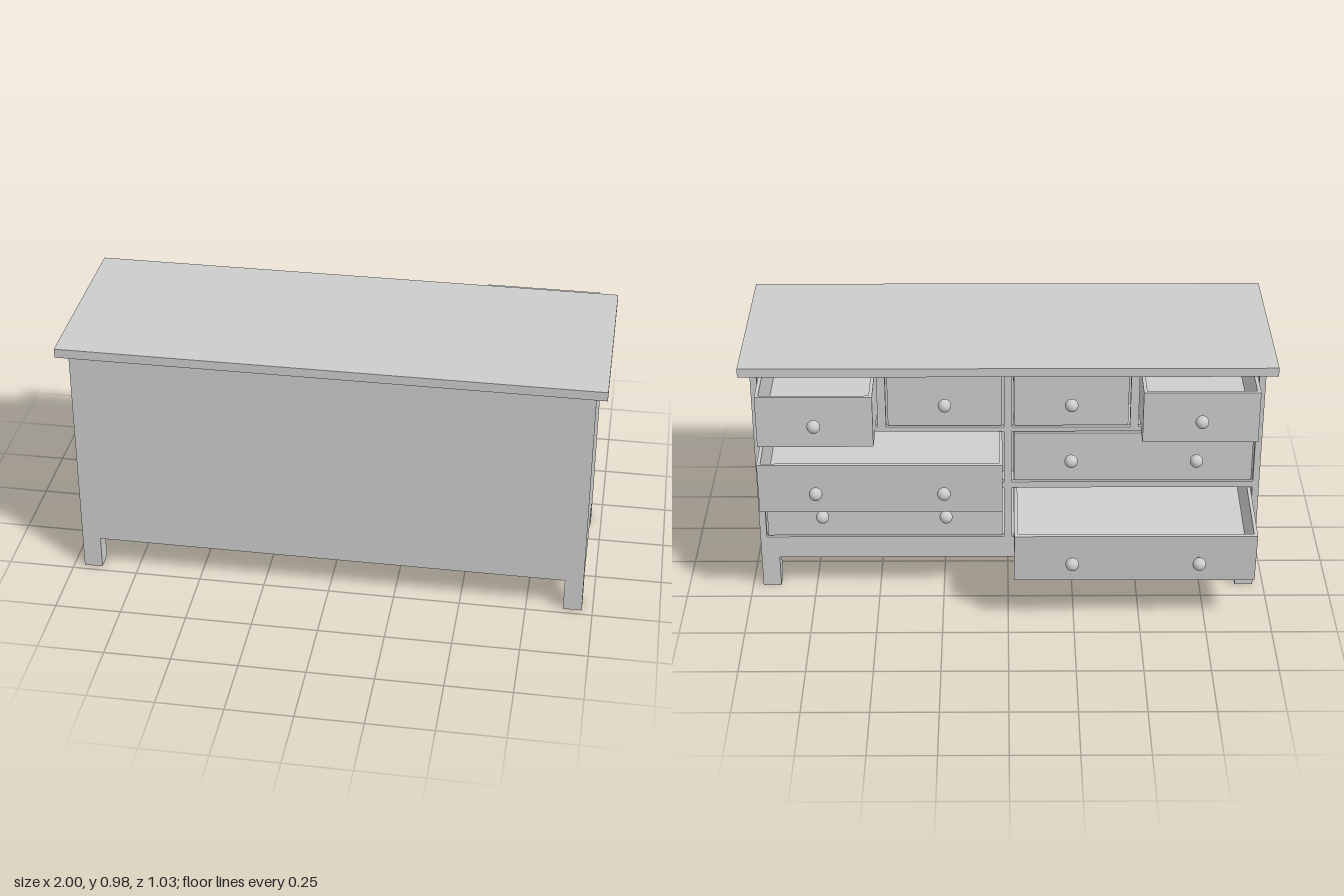
import * as THREE from 'three';

const material = new THREE.MeshStandardMaterial({ color: 0xcccccc });

// Box given by its min and max corners
function box(name, [x0, y0, z0], [x1, y1, z1]) {
  const mesh = new THREE.Mesh(new THREE.BoxGeometry(x1 - x0, y1 - y0, z1 - z0), material);
  mesh.name = name;
  mesh.position.set((x0 + x1) / 2, (y0 + y1) / 2, (z0 + z1) / 2);
  return mesh;
}

const FACE = -0.17;    // plane of the drawer side of the carcass
const BACK = 0.475;
const HALF = 0.96;
const BASE = 0.13;
const TOP = 0.945;
const H = 0.207;       // drawer height
const DEPTH = 0.6;
const WALL = 0.013;
const GAP = 0.007;

// x: centre, y: bottom, w: width, out: how far pulled, tilt: sag angle
const drawers = [
  { x: -0.713, y: 0.716, w: 0.43, out: 0.13, tilt: 0 },
  { x: -0.237, y: 0.716, w: 0.43, out: 0, tilt: 0 },
  { x: 0.237, y: 0.716, w: 0.43, out: 0, tilt: 0 },
  { x: 0.713, y: 0.716, w: 0.43, out: 0.16, tilt: 0 },
  { x: -0.475, y: 0.476, w: 0.906, out: 0, tilt: 0 },
  { x: 0.475, y: 0.476, w: 0.906, out: 0.21, tilt: 0.055 },
  { x: -0.475, y: 0.23, w: 0.906, out: 0.28, tilt: 0.097 },
  { x: 0.475, y: 0.23, w: 0.906, out: 0, tilt: 0 },
];

function rectangle(target, x0, y0, x1, y1) {
  target.moveTo(x0, y0).lineTo(x1, y0).lineTo(x1, y1).lineTo(x0, y1).closePath();
  return target;
}

// Round knob on a thin stem, pointing to -z
function makeKnob(x, y, z) {
  const knob = new THREE.Group();
  knob.name = 'knob';
  const ball = new THREE.Mesh(new THREE.SphereGeometry(0.025, 24, 16), material);
  ball.name = 'knobBall';
  ball.position.z = -0.035;
  const stem = new THREE.Mesh(new THREE.CylinderGeometry(0.006, 0.006, 0.03, 12), material);
  stem.name = 'knobStem';
  stem.rotation.x = Math.PI / 2;
  stem.position.z = -0.013;
  knob.add(ball, stem);
  knob.position.set(x, y, z);
  return knob;
}

// Open-topped drawer, hinged at the carcass face so it can sag
function makeDrawer({ x, y, w, out, tilt }) {
  const drawer = new THREE.Group();
  drawer.name = 'drawer';
  const h = w / 2, z0 = -out, z1 = DEPTH - out;
  drawer.add(
    box('drawerFront', [-h, 0, z0], [h, H, z0 + WALL]),
    box('drawerBack', [-h, 0, z1 - WALL], [h, H, z1]),
    box('drawerFloor', [-h + WALL, 0, z0 + WALL], [h - WALL, WALL, z1 - WALL]),
    box('drawerSide', [-h, 0, z0 + WALL], [-h + WALL, H, z1 - WALL]),
    box('drawerSide', [h - WALL, 0, z0 + WALL], [h, H, z1 - WALL]),
  );
  const knobs = w > 0.5 ? [-0.237, 0.237] : [0];
  for (const kx of knobs) drawer.add(makeKnob(kx, H / 2, z0));
  drawer.position.set(x, y, FACE);
  drawer.rotation.x = -tilt;
  return drawer;
}

export function createModel() {
  const dresser = new THREE.Group();
  dresser.name = 'dresser';

  // Overhanging top and carcass panels
  dresser.add(
    box('tabletop', [-1, TOP, -0.215], [1, 0.98, 0.515]),
    box('backPanel', [-HALF, BASE, BACK - 0.02], [HALF, TOP, BACK]),
    box('bottomPanel', [-HALF + 0.02, BASE, FACE + 0.02], [HALF - 0.02, BASE + 0.02, BACK - 0.02]),
  );

  // Sides and legs
  for (const s of [-1, 1]) {
    const side = box('sidePanel', [HALF - 0.02, BASE, FACE + 0.02], [HALF, TOP, BACK - 0.02]);
    side.position.x *= s;
    dresser.add(side);
    for (const z of [FACE, BACK - 0.07]) {
      const leg = box('leg', [HALF - 0.07, 0, z], [HALF, BASE, z + 0.07]);
      leg.position.x *= s;
      dresser.add(leg);
    }
  }

  // Face frame with one opening per drawer
  const outline = rectangle(new THREE.Shape(), -HALF, BASE, HALF, TOP);
  for (const { x, y, w } of drawers) {
    const h = w / 2 + GAP;
    outline.holes.push(rectangle(new THREE.Path(), x - h, y - GAP, x + h, y + H + GAP));
  }
  const frame = new THREE.Mesh(
    new THREE.ExtrudeGeometry(outline, { depth: 0.02, bevelEnabled: false }), material);
  frame.name = 'faceFrame';
  frame.position.z = FACE;
  dresser.add(frame);

  for (const d of drawers) dresser.add(makeDrawer(d));
  return dresser;
}
